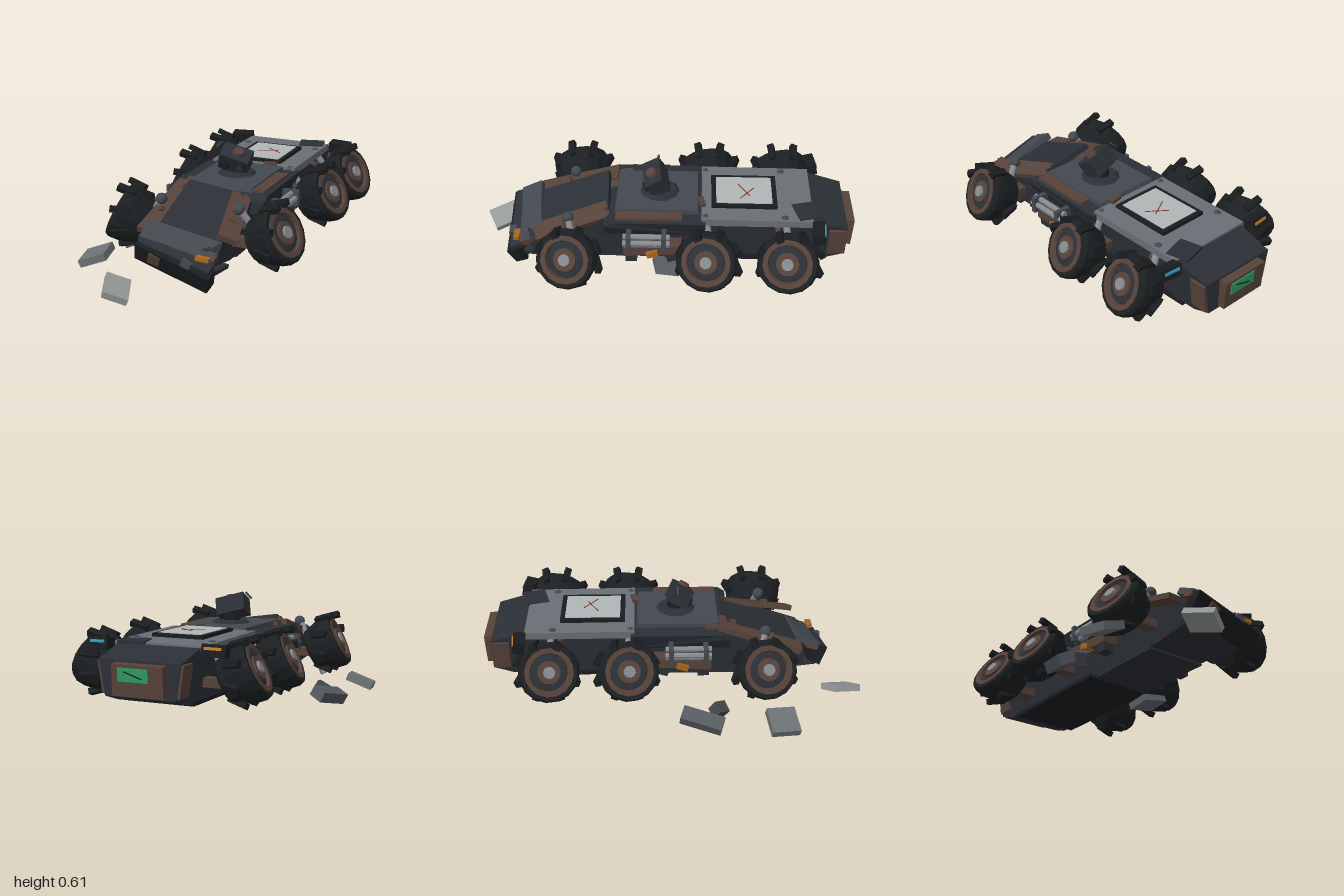
import * as THREE from 'three';

const CX = 0.06; // vehicle centre line
const DARK = 0x2b3036, BLACK = 0x1a1d1f, BROWN = 0x56423a, SLATE = 0x434850, DECK = 0x6a6f75,
  PALE = 0xb0b6b6, STEEL = 0x858a90, ORANGE = 0xa8661c, TYRE = 0x1c2022;
const mats = {};
const mat = c => mats[c] ??= new THREE.MeshStandardMaterial({ color: c, flatShading: true });
const UP = new THREE.Vector3(0, 1, 0);

function add(parent, name, geo, color, p = [0, 0, 0], r = [0, 0, 0]) {
  const m = new THREE.Mesh(geo, mat(color));
  m.name = name;
  m.position.set(...p);
  m.rotation.set(...r);
  parent.add(m);
  return m;
}
const box = (g, name, color, size, p, r) => add(g, name, new THREE.BoxGeometry(...size), color, p, r);

// Cylinder between two points
function rod(g, name, color, a, b, rad, sides = 8) {
  const A = new THREE.Vector3(...a), B = new THREE.Vector3(...b), d = B.clone().sub(A);
  const m = add(g, name, new THREE.CylinderGeometry(rad, rad, d.length(), sides), color);
  m.position.copy(A).add(B).multiplyScalar(0.5);
  m.quaternion.setFromUnitVectors(UP, d.normalize());
}

// Side profile of [z, y] points extruded across x, narrowed towards the bottom
function prism(profile, width, narrow = 1, y0 = 0.15, y1 = 0.42) {
  const shape = new THREE.Shape(profile.map(([z, y]) => new THREE.Vector2(z, y)));
  const geo = new THREE.ExtrudeGeometry(shape, { depth: width, bevelEnabled: false });
  geo.rotateY(-Math.PI / 2).translate(width / 2, 0, 0);
  const p = geo.attributes.position;
  for (let i = 0; i < p.count; i++) {
    const t = THREE.MathUtils.clamp((p.getY(i) - y0) / (y1 - y0), 0, 1);
    p.setX(i, p.getX(i) * THREE.MathUtils.lerp(narrow, 1, t));
  }
  geo.computeVertexNormals();
  return geo;
}

// Lathe whose axis (+y) becomes the outward axle direction
const lathe = pts => new THREE.LatheGeometry(pts.map(p => new THREE.Vector2(...p)), 16);

function makeWheel() {
  const w = new THREE.Group();
  w.name = 'wheel';
  add(w, 'tyre', lathe([[0, -0.09], [0.1, -0.09], [0.118, -0.075], [0.15, 0.02], [0.156, 0.07],
    [0.146, 0.09], [0.125, 0.09], [0.12, 0.075], [0, 0.07]]), TYRE);
  add(w, 'rim', lathe([[0.093, 0.07], [0.127, 0.07], [0.125, 0.095], [0.1, 0.095], [0.093, 0.07]]), BROWN);
  add(w, 'wheelDisc', lathe([[0.1, 0.065], [0.093, 0.08], [0.065, 0.084], [0, 0.084]]), DARK);
  add(w, 'hubRing', lathe([[0.062, 0.075], [0.058, 0.094], [0.046, 0.094], [0, 0.092]]), BROWN);
  add(w, 'hub', new THREE.CylinderGeometry(0.03, 0.034, 0.03, 10), STEEL, [0, 0.09, 0]);
  return w;
}

// Wheels, axles and suspension of one side
function addSide(g, s) {
  const tilt = 0.46, yaw = 0.2;
  const out = new THREE.Vector3(s * Math.cos(tilt) * Math.cos(yaw), Math.sin(tilt), Math.cos(tilt) * Math.sin(yaw));
  for (const z of [0.465, -0.24, -0.645]) {
    const w = makeWheel();
    w.position.set(s * 0.376, 0.29, z);
    w.quaternion.setFromUnitVectors(UP, out);
    g.add(w);
    // Splayed lugs stand upright around the leaning tyre
    for (let i = 0; i < 8; i++) {
      const a = (i + 0.5) * Math.PI / 4;
      box(g, 'treadLug', BLACK, [0.1, 0.03, 0.036],
        [s * 0.385, 0.308 + 0.15 * Math.cos(a), z + 0.15 * Math.sin(a)], [a, 0, s * 0.3]);
    }
    box(g, 'axle', BROWN, [0.2, 0.045, 0.06], [s * 0.24, 0.245, z]);
    rod(g, 'strut', STEEL, [s * 0.21, 0.42, z + 0.02], [s * 0.31, 0.27, z - 0.02], 0.018);
    rod(g, 'spring', BROWN, [s * 0.18, 0.38, z + 0.06], [s * 0.3, 0.31, z + 0.03], 0.014);
    add(g, 'strutCap', new THREE.IcosahedronGeometry(0.03, 1), SLATE, [s * 0.21, 0.415, z + 0.02]);
  }
  // Gas bottles and gear between front and middle wheels
  for (const [x, y] of [[0.30, 0.365], [0.322, 0.34], [0.30, 0.315]])
    rod(g, 'gasBottle', STEEL, [s * x, y, 0.2], [s * x, y, -0.04], 0.015);
  for (const z of [0.17, -0.01]) box(g, 'bottleStrap', SLATE, [0.09, 0.085, 0.025], [s * 0.295, 0.34, z]);
  box(g, 'sideRack', BROWN, [0.08, 0.05, 0.3], [s * 0.25, 0.265, 0.05], [0.06, 0, 0]);
  box(g, 'toolBox', ORANGE, [0.05, 0.03, 0.06], [s * 0.285, 0.255, 0.05], [0.3, 0, 0]);
  box(g, 'sideBracket', DARK, [0.06, 0.07, 0.06], [s * 0.25, 0.225, 0.16]);
  box(g, 'sideBracket', DARK, [0.06, 0.06, 0.06], [s * 0.25, 0.225, -0.05], [0.3, 0, 0]);
  // Rear lamps
  box(g, 'rearLamp', BLACK, [0.12, 0.06, 0.06], [s * 0.31, 0.42, -0.79], [0.2, -s * 0.1, 0]);
  box(g, 'lampStrip', s > 0 ? 0x2f9db4 : 0xc87a20, [0.085, 0.014, 0.02], [s * 0.31, 0.433, -0.814], [0.2, -s * 0.1, 0]);
}

function addHull(g) {
  add(g, 'hull', prism([[-0.92, 0.2], [-0.82, 0.165], [0.5, 0.15], [0.7, 0.19], [0.7, 0.27], [0.3, 0.4],
    [-0.75, 0.42], [-0.92, 0.36]], 0.4, 0.85), DARK);
  box(g, 'rearBelly', BLACK, [0.38, 0.02, 0.72], [0, 0.158, -0.42]);
  box(g, 'frontBelly', DARK, [0.34, 0.02, 0.45], [0, 0.148, 0.2]);
  // Rear section
  add(g, 'tailBlock', prism([[-0.95, 0.2], [-0.85, 0.165], [-0.7, 0.165], [-0.7, 0.425], [-0.77, 0.425],
    [-0.95, 0.375]], 0.45, 0.8), DARK);
  for (const s of [1, -1])
    box(g, 'tailSidePlate', BROWN, [0.02, 0.16, 0.09], [s * 0.208, 0.29, -0.9], [0, 0, -s * 0.15]);
  box(g, 'tailGate', BROWN, [0.27, 0.15, 0.045], [-0.01, 0.288, -0.968], [-0.06, 0, 0]);
  box(g, 'tailScreen', 0x2f9a62, [0.16, 0.065, 0.015], [0.01, 0.315, -0.99], [-0.06, 0, 0]);
  box(g, 'tailScratch', BLACK, [0.1, 0.006, 0.01], [0.01, 0.315, -0.994], [0, 0, 0.3]);
  // Rear deck with framed panel
  add(g, 'rearDeck', prism([[-0.77, 0.4], [-0.2, 0.4], [-0.2, 0.44], [-0.77, 0.435]], 0.485), DECK);
  box(g, 'deckPatch', DARK, [0.14, 0.015, 0.12], [0.15, 0.434, -0.74], [0, 0.25, 0]);
  box(g, 'panelFrame', BLACK, [0.28, 0.025, 0.34], [0, 0.442, -0.42]);
  box(g, 'panel', PALE, [0.235, 0.012, 0.29], [0, 0.452, -0.42]);
  box(g, 'panelCrack', 0x8c3030, [0.12, 0.004, 0.005], [0, 0.458, -0.42], [0, 0.5, 0]);
  box(g, 'panelCrack', 0x8c3030, [0.12, 0.004, 0.005], [0.03, 0.458, -0.435], [0, -0.65, 0]);
  // Middle deck
  add(g, 'middleDeck', prism([[-0.22, 0.33], [0.3, 0.33], [0.3, 0.4], [0.26, 0.425], [-0.22, 0.425]], 0.54, 0.85, 0.33, 0.4), DARK);
  add(g, 'middleTop', prism([[-0.19, 0.42], [0.25, 0.42], [0.24, 0.448], [-0.18, 0.448]], 0.36), SLATE);
  box(g, 'deckStrip', BROWN, [0.07, 0.02, 0.34], [0.21, 0.43, 0.07]);
  box(g, 'deckChip', BROWN, [0.07, 0.02, 0.03], [0.1, 0.448, -0.2], [0, 0.2, 0]);
  box(g, 'deckCorner', BROWN, [0.14, 0.03, 0.15], [-0.13, 0.42, 0.24], [0.1, 0.1, -0.1]);
}

function addFront(g) {
  box(g, 'hood', DARK, [0.3, 0.03, 0.46], [0, 0.355, 0.5], [0.36, 0, -0.15]);
  box(g, 'leftHoodPanel', BROWN, [0.1, 0.03, 0.4], [0.18, 0.365, 0.47], [0.25, 0.22, -0.42]);
  box(g, 'rightHoodPanel', BROWN, [0.12, 0.03, 0.45], [-0.18, 0.37, 0.46], [0.3, -0.05, -0.05]);
  box(g, 'hoodEdge', BROWN, [0.34, 0.05, 0.03], [0, 0.405, 0.31], [0.2, 0, -0.16]);
  box(g, 'nosePlate', SLATE, [0.38, 0.035, 0.12], [0, 0.29, 0.7], [0.45, 0, -0.24]);
  box(g, 'noseBrace', BROWN, [0.39, 0.035, 0.06], [0, 0.268, 0.73], [0.3, 0, -0.22]);
  // Torn bumper
  box(g, 'bumper', BLACK, [0.4, 0.1, 0.07], [0, 0.2, 0.77], [0.4, -0.12, -0.28]);
  box(g, 'bumperLip', DARK, [0.38, 0.03, 0.06], [0.01, 0.25, 0.775], [0.4, -0.1, -0.26]);
  box(g, 'bumperPatch', BROWN, [0.06, 0.06, 0.03], [-0.09, 0.225, 0.8], [0.4, 0, -0.4]);
  box(g, 'headLamp', ORANGE, [0.07, 0.02, 0.03], [0.15, 0.25, 0.77], [0, 0, -0.05]);
  box(g, 'towHook', SLATE, [0.05, 0.03, 0.04], [0.08, 0.225, 0.8], [0, 0, -0.4]);
  box(g, 'skidPlate', DARK, [0.34, 0.02, 0.26], [0, 0.158, 0.64], [-0.12, 0, -0.12]);
}

function addTurret(g) {
  add(g, 'turretBase', new THREE.CylinderGeometry(0.085, 0.122, 0.03, 10), DARK, [0, 0.448, 0.02]);
  add(g, 'turretNeck', new THREE.CylinderGeometry(0.04, 0.05, 0.05, 8), BLACK, [0, 0.475, 0.02]);
  const head = new THREE.Group();
  head.name = 'sensorHead';
  head.position.set(0, 0.528, 0.04);
  head.rotation.set(0.5, 0, -0.3);
  g.add(head);
  box(head, 'headShell', DARK, [0.16, 0.1, 0.1]);
  add(head, 'headCap', new THREE.CylinderGeometry(0.028, 0.034, 0.022, 8), BROWN, [0.01, 0.057, 0]);
  for (const s of [-1, 1]) {
    const [x, y] = [s * 0.042, s * 0.012];
    add(head, 'eyeRing', new THREE.CylinderGeometry(0.027, 0.027, 0.025, 12), BLACK, [x, y, 0.052], [Math.PI / 2, 0, 0]);
    add(head, 'lens', new THREE.CylinderGeometry(0.02, 0.02, 0.012, 12), s > 0 ? 0x24465c : 0x20282e, [x, y, 0.062], [Math.PI / 2, 0, 0]);
  }
  rod(g, 'antenna', SLATE, [-0.115, 0.58, 0.03], [-0.08, 0.612, 0.03], 0.006, 6);
}

export function createModel() {
  const root = new THREE.Group();
  root.name = 'wreckedRover';
  const rover = new THREE.Group();
  rover.name = 'rover';
  rover.position.x = CX;
  root.add(rover);
  addHull(rover);
  addFront(rover);
  addTurret(rover);
  for (const s of [1, -1]) addSide(rover, s);

  // Loose debris around the rover
  const debris = [
    [0x96999a, [0.125, 0.035, 0.165], [-0.185, 0.083, 0.9], [0.25, 0.4, -0.5]],
    [0x6d7275, [0.15, 0.04, 0.15], [-0.5, 0.083, 0.555], [0.08, 0.2, 0.35]],
    [0x565b60, [0.08, 0.06, 0.22], [-0.46, 0.07, 0.145], [0.2, -0.25, 0.5]],
    [0x43484e, [0.065, 0.07, 0.065], [-0.38, 0.08, 0.235], [0.3, 0.6, 0.4]],
    [0x62676b, [0.17, 0.035, 0.12], [0.225, 0.074, -0.015], [-0.2, 0.1, 0.25]],
  ];
  for (const [c, size, p, r] of debris) box(root, 'debris', c, size, p, r);
  return root;
}
